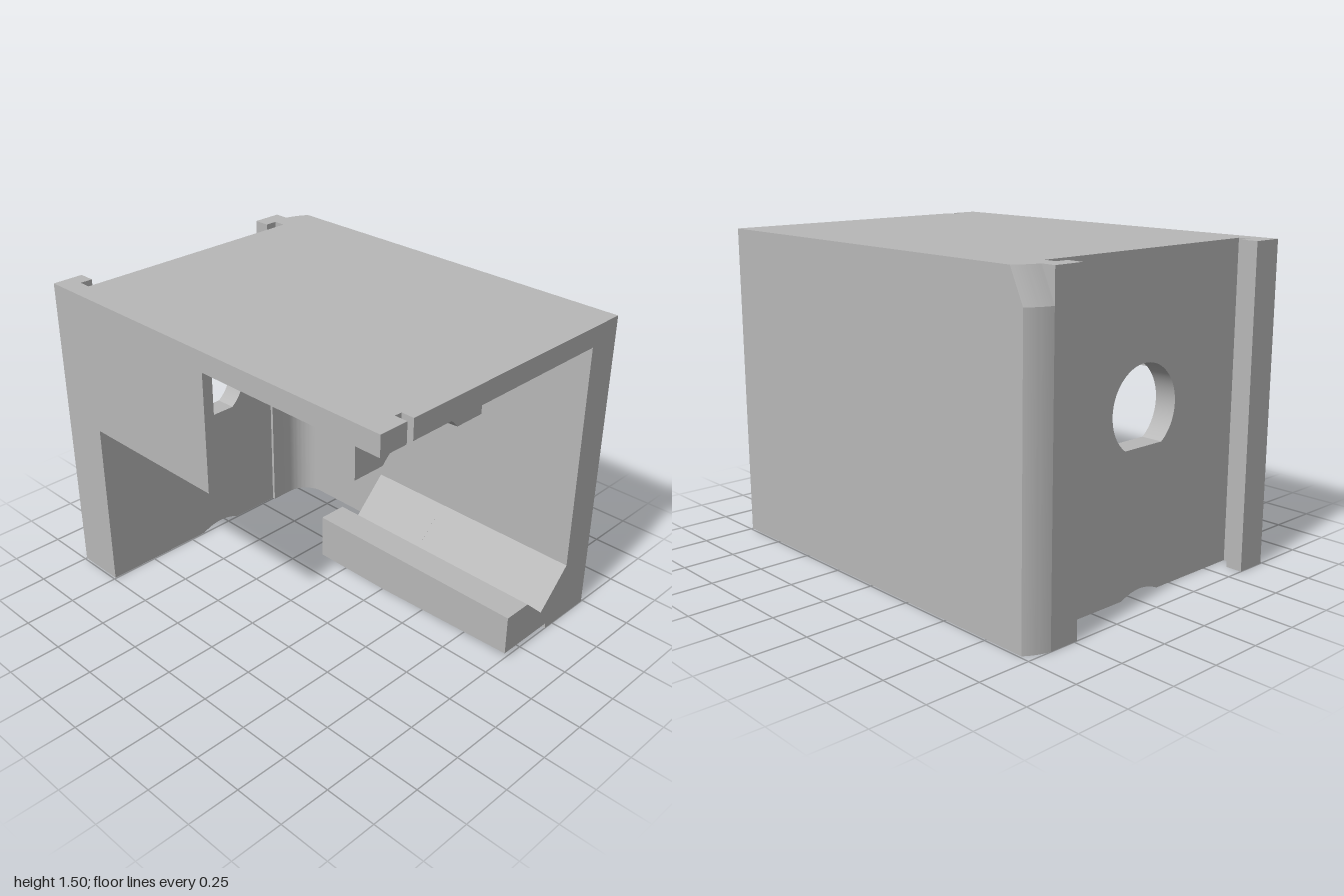
import * as THREE from 'three';
import { toCreasedNormals } from 'three/addons/utils/BufferGeometryUtils.js';

export function createModel() {
  const model = new THREE.Group();
  const grey = new THREE.MeshStandardMaterial({ color: 0xb8b8b8 });
  grey.name = 'plain grey';

  const add = (name, geometry) => {
    const mesh = new THREE.Mesh(toCreasedNormals(geometry, 0.5), grey);
    mesh.name = name;
    model.add(mesh);
  };
  const polygon = (pts) => new THREE.Shape(pts.map(([x, y]) => new THREE.Vector2(x, y)));
  // outline in x, y pushed from z0 to z1
  const alongZ = (shape, z0, z1) =>
    new THREE.ExtrudeGeometry(shape, { depth: z1 - z0, bevelEnabled: false, curveSegments: 32 }).translate(0, 0, z0);
  // outline in x, -z raised from y0 to y1
  const alongY = (shape, y0, y1) =>
    new THREE.ExtrudeGeometry(shape, { depth: y1 - y0, bevelEnabled: false, curveSegments: 12 })
      .rotateX(-Math.PI / 2).translate(0, y0, 0);
  const plan = (pts) => polygon(pts.map(([x, z]) => [x, -z]));
  const box = (x0, x1, y0, y1, z0, z1) =>
    new THREE.BoxGeometry(x1 - x0, y1 - y0, z1 - z0).translate((x0 + x1) / 2, (y0 + y1) / 2, (z0 + z1) / 2);
  // rule applied to every vertex
  const bend = (geometry, rule) => {
    const p = geometry.attributes.position;
    const v = new THREE.Vector3();
    for (let i = 0; i < p.count; i++) {
      rule(v.fromBufferAttribute(p, i));
      p.setXYZ(i, v.x, v.y, v.z);
    }
    geometry.computeVertexNormals();
    return geometry;
  };

  // top plate with a small slot in its front edge
  add('topPlate', alongY(plan([
    [-0.74, 1], [-0.6, 1], [-0.6, 0.94], [-0.565, 0.94], [-0.565, 1],
    [0.57, 1], [0.57, -0.86], [-0.74, -0.86],
  ]), 1.403, 1.497));

  // side walls
  add('leftFullWall', box(0.57, 0.74, 0, 1.497, -0.86, 1));
  add('rightPartialWall', box(-0.74, -0.69, 0.835, 1.403, -0.755, 0.03));

  // back wall with teardrop hole and shallow notch below
  const cx = -0.05, cy = 0.826, r = 0.198;
  const wall = new THREE.Shape();
  wall.moveTo(-0.74, 0);
  wall.lineTo(-0.165, 0);
  wall.quadraticCurveTo(-0.11, 0.027, cx, 0.028);
  wall.quadraticCurveTo(0.01, 0.027, 0.065, 0);
  wall.lineTo(0.57, 0);
  wall.lineTo(0.57, 1.403);
  wall.lineTo(-0.74, 1.403);
  wall.closePath();
  const hole = new THREE.Path();
  hole.moveTo(cx, 0.585);
  hole.absarc(cx, cy, r, -0.95, Math.PI + 0.95, false);
  hole.closePath();
  wall.holes.push(hole);
  add('backWall', alongZ(wall, -0.86, -0.755));

  // thickened inner corner with a concave fillet
  const fillet = new THREE.Shape();
  fillet.moveTo(0.33, 0.76);
  fillet.lineTo(0.57, 0.76);
  fillet.lineTo(0.57, 0.62);
  fillet.absarc(0.45, 0.62, 0.12, 0, Math.PI / 2, false);
  fillet.lineTo(0.33, 0.74);
  fillet.closePath();
  add('innerCornerFillet', alongY(fillet, 0, 1.403));

  // hooked rails at the back
  add('rightRail', alongY(plan([
    [-0.74, -0.755], [-0.65, -0.755], [-0.65, -0.92], [-0.59, -0.92], [-0.59, -1], [-0.74, -1],
  ]), 0, 1.497));
  add('leftRail', alongY(plan([
    [0.545, -0.86], [0.63, -0.86], [0.63, -1], [0.485, -1], [0.485, -0.92], [0.545, -0.92],
  ]), 0, 1.497));

  // rounded outer corner; its top end leans forward
  const corner = new THREE.Shape();
  corner.moveTo(0.63, 0.86);
  corner.lineTo(0.74, 0.86);
  corner.lineTo(0.74, 0.95);
  corner.quadraticCurveTo(0.695, 0.985, 0.63, 1);
  corner.closePath();
  add('roundedCorner', alongY(corner, 0, 1.35));
  add('roundedCornerTop', bend(alongY(corner, 1.35, 1.497), (v) => {
    if (v.y > 1.4 && v.z < -0.9) v.z += 0.07;
  }));

  // hanging plate with a slightly tapered arch
  const half = 0.24, bottom = 1.025, arcR = 0.313;
  const arcY = bottom - Math.sqrt(arcR * arcR - half * half);
  const start = Math.atan2(bottom - arcY, half);
  const hanger = new THREE.Shape();
  hanger.moveTo(-0.455, 1.403);
  hanger.lineTo(-0.455, bottom);
  hanger.lineTo(cx - half, bottom);
  hanger.absarc(cx, arcY, arcR, Math.PI - start, start, true);
  hanger.lineTo(0.355, bottom);
  hanger.lineTo(0.355, 1.403);
  hanger.closePath();
  add('hangingPlate', bend(alongZ(hanger, 0.525, 0.61), (v) => {
    if (v.z < 0.56 && Math.hypot(v.x - cx, v.y - arcY) < 0.33) {
      v.x = cx + (v.x - cx) * 0.96;
      v.y = Math.max(bottom, arcY + (v.y - arcY) * 0.96);
    }
  }));

  // grooved foot, its underside ramped up toward the front
  add('footInner', bend(alongZ(polygon([
    [0.135, 0], [0.445, 0], [0.445, 0.167], [0.395, 0.117], [0.28, 0.225], [0.135, 0.225],
  ]), 0.25, 1), (v) => {
    if (v.z > 0.9 && v.y < 0.01) v.y = 0.028;
  }));
  add('footOuter', alongZ(polygon([[0.445, 0], [0.57, 0], [0.57, 0.295], [0.445, 0.167]]), 0.25, 1));
  add('footRear', alongZ(polygon([
    [0.135, 0], [0.57, 0], [0.57, 0.295], [0.395, 0.117], [0.28, 0.225], [0.135, 0.225],
  ]), -0.17, 0.25));

  return model;
}
